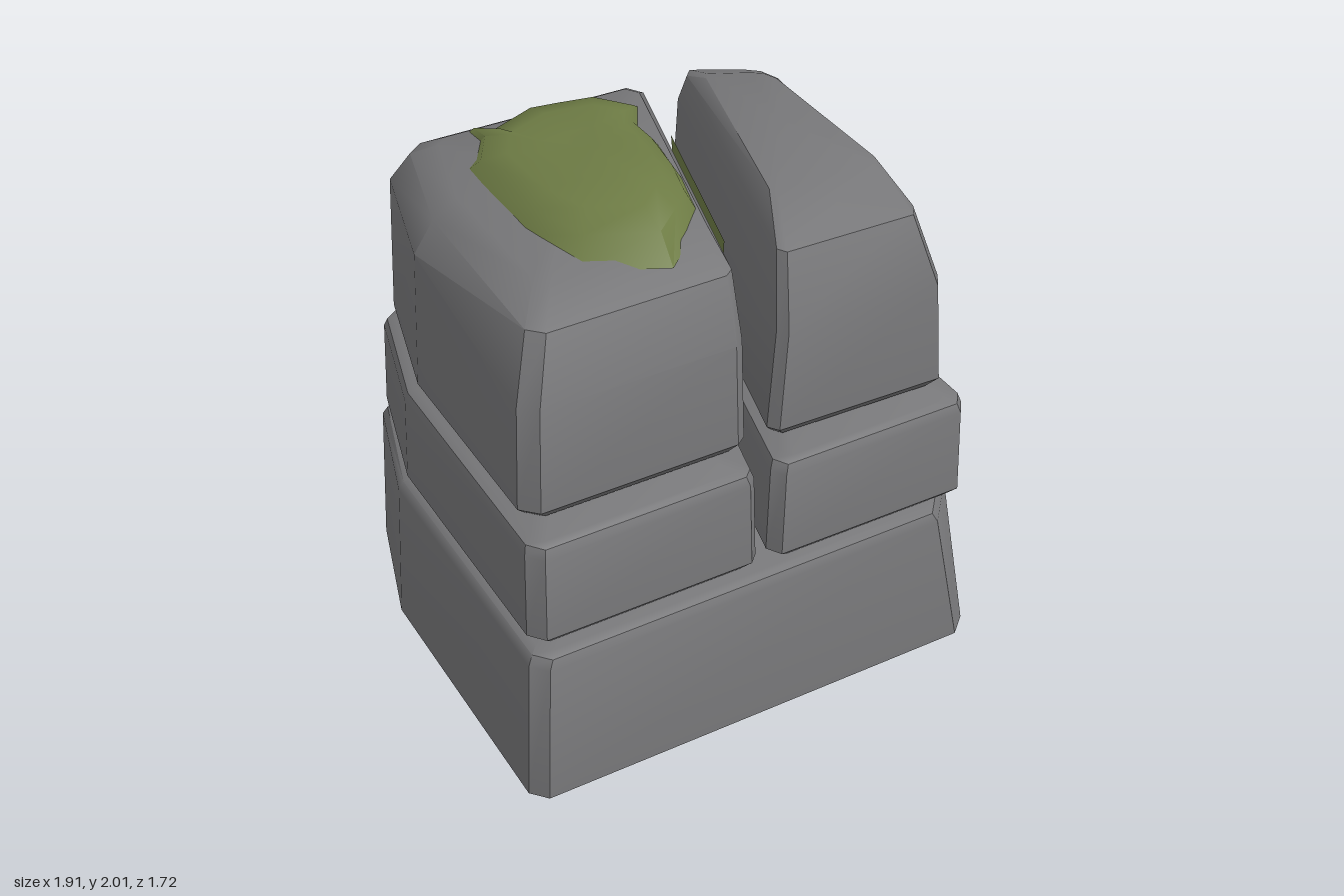
import * as THREE from 'three';
import { toCreasedNormals } from 'three/addons/utils/BufferGeometryUtils.js';

const stone = new THREE.MeshStandardMaterial({ color: 0x777779, side: THREE.DoubleSide });
stone.name = 'grey stone';
const moss = new THREE.MeshStandardMaterial({ color: 0x6e7c45, side: THREE.DoubleSide });
moss.name = 'green moss';

// Skin stacked rings of [x, y, z] points; optional caps are fans round the ring centre
function loft(name, rings, material, capBottom, capTop, crease = 0.6) {
  const pos = [], n = rings[0].length;
  const tri = (a, b, c) => pos.push(...a, ...b, ...c);
  const centre = r => [0, 1, 2].map(k => r.reduce((s, p) => s + p[k], 0) / n);
  const first = rings[0], last = rings[rings.length - 1];
  const c0 = centre(first), c1 = centre(last);
  for (let i = 0; i < n; i++) {
    const j = (i + 1) % n;
    for (let k = 0; k < rings.length - 1; k++) {
      const lo = rings[k], hi = rings[k + 1];
      tri(lo[i], lo[j], hi[j]);
      tri(lo[i], hi[j], hi[i]);
    }
    if (capBottom) tri(c0, first[j], first[i]);
    if (capTop) tri(c1, last[i], last[j]);
  }
  const geo = new THREE.BufferGeometry();
  geo.setAttribute('position', new THREE.Float32BufferAttribute(pos, 3));
  const mesh = new THREE.Mesh(toCreasedNormals(geo, crease), material);
  mesh.name = name;
  return mesh;
}

// Shrink an outline by separate left, right, front and back amounts, skewed along the cleft;
// dip lowers the points along the front
function ring(outline, skew, { y, l = 0, r = 0, f = 0, b = 0, dip = 0 }) {
  const u = outline.map(([x, z]) => x + skew * z), zs = outline.map(p => p[1]);
  const u0 = Math.min(...u), u1 = Math.max(...u), z0 = Math.min(...zs), z1 = Math.max(...zs);
  return outline.map(([, z], i) => {
    const nz = THREE.MathUtils.mapLinear(z, z0, z1, z0 + b, z1 - f);
    const nu = THREE.MathUtils.mapLinear(u[i], u0, u1, u0 + l, u1 - r);
    return [nu - skew * nz, y - (z > 0.3 ? dip : 0), nz];
  });
}

const block = (name, outline, levels) =>
  loft(name, levels.map(v => ring(outline, 0.24, v)), stone, true, true);

// Thin patch through a few points
function patch(name, points) {
  const pos = [];
  for (let i = 1; i < points.length - 1; i++) pos.push(...points[0], ...points[i], ...points[i + 1]);
  const geo = new THREE.BufferGeometry();
  geo.setAttribute('position', new THREE.Float32BufferAttribute(pos, 3));
  geo.computeVertexNormals();
  const mesh = new THREE.Mesh(geo, moss);
  mesh.name = name;
  return mesh;
}

export function createModel() {
  const model = new THREE.Group();
  model.name = 'mossyRockStack';

  // Base slab, hollow underneath, with one front corner cut away towards the top
  const foot = [[-0.9, 0.86], [0.88, 0.83], [0.955, 0.76], [0.91, -0.5], [0.85, -0.66],
    [0.76, -0.71], [0.4, -0.845], [0.3, -0.86], [-0.74, -0.86], [-0.81, -0.81],
    [-0.955, -0.33], [-0.955, 0.8]];
  const shoulder = foot.map(([x, z]) => [x * 0.972, z * 0.985]);
  shoulder[1] = [0.76, 0.815];
  shoulder[2] = [0.915, 0.63];
  model.add(loft('baseSlab', [
    ring(foot, 0, { y: 0 }),
    ring(shoulder, 0, { y: 0.6 }),
    ring(shoulder, 0, { y: 0.635, l: 0.02, r: 0.02, f: 0.015, b: 0.015 }),
    ring(shoulder, 0, { y: 0.65, l: 0.05, r: 0.05, f: 0.045, b: 0.045 }),
  ], stone, false, true));

  // Middle layer, split in two by the cleft
  const m = 0.04;
  const midLevels = [
    { y: 0.655, l: m, r: m, f: m, b: m },
    { y: 0.7 },
    { y: 1.05, l: 0.012, r: 0.012, f: 0.01, b: 0.01 },
    { y: 1.085, l: 0.025, r: 0.025, f: 0.025, b: 0.025 },
    { y: 1.1, l: 0.055, r: 0.055, f: 0.05, b: 0.05 },
  ];
  model.add(block('middleRightBlock', [[-0.86, 0.8], [-0.03, 0.785], [0.005, 0.75],
    [0.36, -0.74], [0.32, -0.8], [-0.71, -0.81], [-0.78, -0.76], [-0.91, -0.27],
    [-0.91, 0.74]], midLevels));
  model.add(block('middleLeftBlock', [[0.09, 0.795], [0.86, 0.785], [0.9, 0.73],
    [0.86, -0.5], [0.82, -0.61], [0.74, -0.67], [0.44, -0.78], [0.4, -0.74],
    [0.055, 0.74]], midLevels));

  // Tall top blocks with sloping shoulders
  model.add(block('topRightBlock', [[-0.81, 0.68], [-0.03, 0.67], [0.01, 0.64],
    [0.345, -0.69], [0.3, -0.76], [-0.67, -0.765], [-0.74, -0.71], [-0.87, -0.2],
    [-0.87, 0.62]], [
    { y: 1.11, l: m, r: 0.03, f: m, b: m },
    { y: 1.16 },
    { y: 1.72, l: 0.02, r: 0.015, f: 0.01, b: 0.015, dip: 0.14 },
    { y: 1.83, l: 0.1, r: 0.03, f: 0.11, b: 0.06, dip: 0.02 },
    { y: 1.885, l: 0.2, r: 0.07, f: 0.28, b: 0.15 },
  ]));
  model.add(block('topLeftBlock', [[0.14, 0.67], [0.81, 0.68], [0.85, 0.62],
    [0.82, -0.45], [0.78, -0.54], [0.71, -0.59], [0.47, -0.7], [0.43, -0.66],
    [0.11, 0.63]], [
    { y: 1.11, l: 0.03, r: m, f: m, b: m },
    { y: 1.16 },
    { y: 1.76, l: 0.03, r: 0.035, f: 0.01, b: 0.02, dip: 0.19 },
    { y: 1.88, l: 0.055, r: 0.12, f: 0.11, b: 0.07, dip: 0.05 },
    { y: 1.925, l: 0.1, r: 0.2, f: 0.34, b: 0.2 },
  ]));

  // Moss cushion on top
  const rim = [[-0.2, 0.5], [-0.06, 0.37], [0.04, 0.26], [0.1, 0.05], [0.14, -0.2],
    [0.14, -0.36], [0.215, -0.5], [0.1, -0.66], [-0.05, -0.69], [-0.18, -0.71],
    [-0.43, -0.6], [-0.47, -0.67], [-0.46, -0.58], [-0.57, -0.39], [-0.56, 0.08], [-0.48, 0.37]];
  const cushion = [[1, 1.86], [0.85, 1.935], [0.65, 1.972], [0.35, 1.985]].map(([s, y]) =>
    rim.map(([x, z]) => [
      -0.18 + (x + 0.18) * s,
      s === 1 ? (z < -0.55 ? 1.8 : y) : y + 0.04 * z,
      -0.12 + (z + 0.12) * s]));
  model.add(loft('mossCushion', cushion, moss, false, true, 0.9));

  // Moss hanging down the wall of the cleft
  const wall = (z, y) => [0.19 - 0.25 * z - 0.03 * (y - 1.12), y, z];
  model.add(patch('cleftMoss', [wall(0.36, 1.8), wall(0.24, 1.11), wall(-0.2, 1.11), wall(-0.33, 1.82)]));

  // Moss scraps on the back
  model.add(patch('backMossUpper', [[-0.14, 1.107, -0.75], [0.06, 1.107, -0.75], [0.06, 1.05, -0.81],
    [-0.04, 1.02, -0.814], [-0.3, 1.03, -0.814], [-0.37, 1.0, -0.815], [-0.36, 1.05, -0.81],
    [-0.33, 1.107, -0.75]]));
  model.add(patch('backMossLower', [[-0.12, 0.64, -0.842], [-0.18, 0.51, -0.857], [-0.24, 0.64, -0.842]]));

  return model;
}
